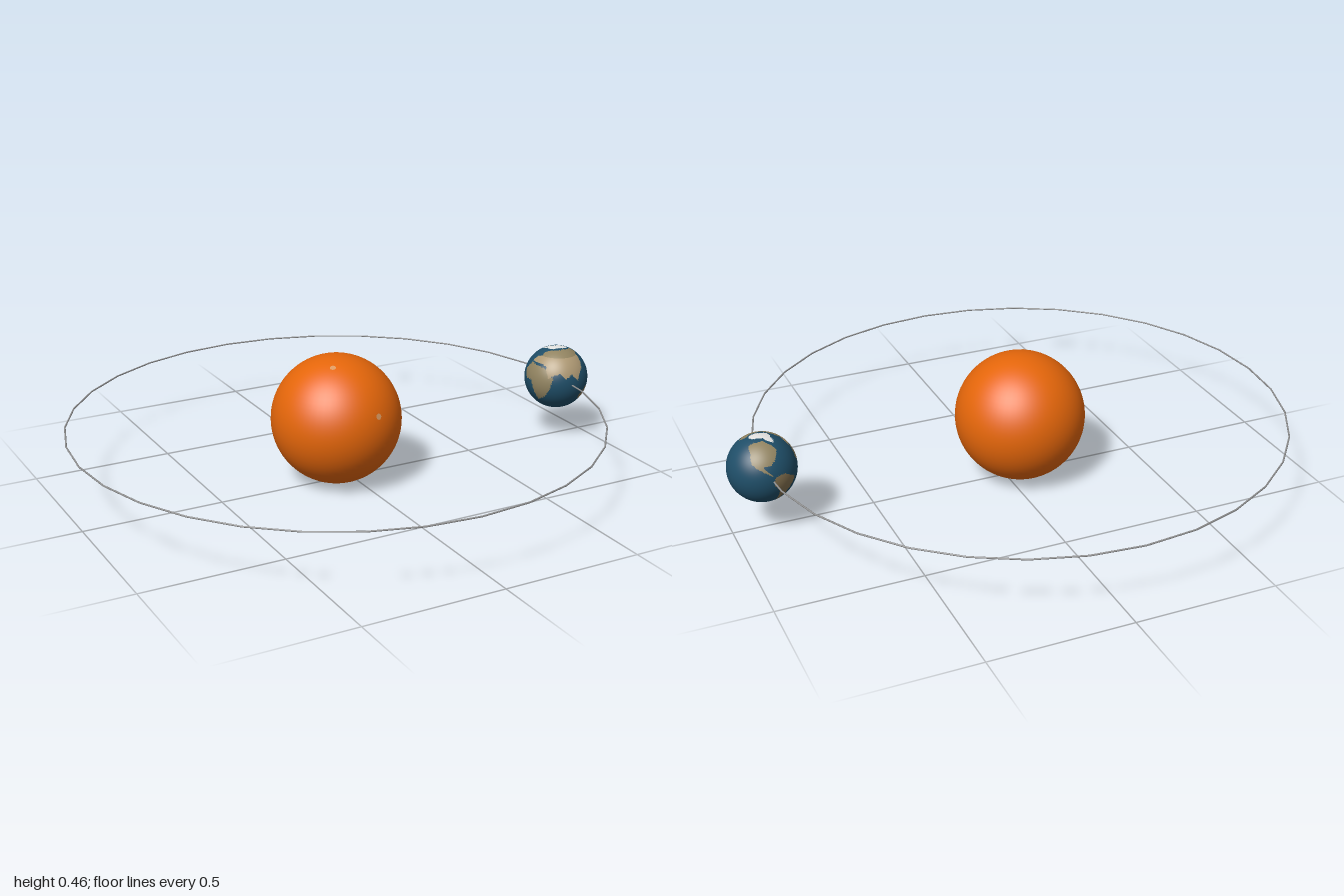
import * as THREE from 'three';

const DEG = Math.PI / 180;
const CENTER_Y = 0.232, SUN_X = -0.056, ORBIT = 0.941;

// Coarse land outlines as [longitude, latitude] corners
const EURASIA = [[-9, 37], [-4, 48], [10, 54], [6, 62], [28, 71], [104, 75], [165, 68], [160, 54], [140, 55], [130, 40],
  [121, 28], [108, 18], [103, 7], [91, 20], [78, 12], [68, 22], [57, 20], [45, 12], [36, 34], [24, 38]];
const AFRICA = [[-6, 35], [33, 31], [54, 13], [48, -8], [38, -25], [20, -35], [9, 4], [-8, 4], [-17, 18]];
const AUSTRALIA = [[114, -23], [131, -11], [142, -11], [153, -27], [148, -38], [116, -35]];
const NORTH_AMERICA = [[-140, 62], [-125, 70], [-82, 74], [-60, 60], [-56, 50], [-81, 27], [-97, 28],
  [-78, 8], [-117, 32], [-124, 49]];
const SOUTH_AMERICA = [[-78, 8], [-60, 9], [-35, -7], [-48, -27], [-69, -54], [-71, -20], [-81, -5]];
const GREENLAND = [[-72, 78], [-18, 80], [-24, 70], [-46, 62]];

function inside(poly, lon, lat) {
  let hit = false;
  for (let i = 0, j = poly.length - 1; i < poly.length; j = i++) {
    const [xi, yi] = poly[i], [xj, yj] = poly[j];
    if ((yi > lat) !== (yj > lat) && lon < (xj - xi) * (lat - yi) / (yj - yi) + xi) hit = !hit;
  }
  return hit;
}

// 0 = ocean, 1 = tan land, 2 = olive land, 3 = brown land, 4 = ice
function surfaceKind(lon, lat) {
  const iceEdge = 77 - 4 * Math.cos(2 * (lon - 170) * DEG);
  if (lat > iceEdge || lat < -71 || inside(GREENLAND, lon, lat)) return 4;
  if (inside(EURASIA, lon, lat)) return lat > 52 ? 2 : 1;
  if ([AFRICA, NORTH_AMERICA].some(p => inside(p, lon, lat))) return 2;
  return [AUSTRALIA, SOUTH_AMERICA].some(p => inside(p, lon, lat)) ? 3 : 0;
}

// Sphere whose triangles are sorted into one group per surface kind
function planetGeometry(radius) {
  const geo = new THREE.SphereGeometry(radius, 144, 72);
  const pos = geo.attributes.position, idx = geo.index.array;
  const sets = [[], [], [], [], []];
  const c = new THREE.Vector3(), v = new THREE.Vector3();
  for (let i = 0; i < idx.length; i += 3) {
    c.set(0, 0, 0);
    for (let k = 0; k < 3; k++) c.add(v.fromBufferAttribute(pos, idx[i + k]));
    c.normalize();
    let lon = Math.atan2(c.x, c.z) / DEG + 95; // the front faces 95 degrees east
    if (lon > 180) lon -= 360;
    sets[surfaceKind(lon, Math.asin(c.y) / DEG)].push(idx[i], idx[i + 1], idx[i + 2]);
  }
  geo.setIndex(sets.flat());
  let start = 0;
  sets.forEach((s, m) => { geo.addGroup(start, s.length, m); start += s.length; });
  return geo;
}

export function createModel() {
  const material = (name, color) => {
    const m = new THREE.MeshStandardMaterial({ color });
    m.name = name;
    return m;
  };
  const sunOrange = material('sunOrange', 0xe5660a);
  const spotTan = material('spotTan', 0xdb9a62);
  const oceanBlue = material('oceanBlue', 0x1f4e68);
  const landTan = material('landTan', 0xac9772);
  const landOlive = material('landOlive', 0x918360);
  const landBrown = material('landBrown', 0x857250);
  const iceWhite = material('iceWhite', 0xe4e4e2);
  const orbitGrey = material('orbitGrey', 0x909090);

  const model = new THREE.Group();
  model.name = 'sunAndPlanet';
  const add = (name, geo, mat, x, y = CENTER_Y, z = 0) => {
    const mesh = new THREE.Mesh(geo, mat);
    mesh.name = name;
    mesh.position.set(x, y, z);
    model.add(mesh);
    return mesh;
  };

  // Sun with two tiny pale spots, one on the front and one near the top
  const R = 0.23;
  add('sun', new THREE.SphereGeometry(R, 64, 40), sunOrange, SUN_X);
  for (const d of [[0.22, 0.29, 0.93], [-0.21, 0.93, 0.3]]) {
    const dir = new THREE.Vector3(...d).normalize();
    const at = dir.clone().multiplyScalar(R + 0.0005);
    const spot = add('sunSpot', new THREE.CircleGeometry(0.011, 10), spotTan, SUN_X + at.x, CENTER_Y + at.y, at.z);
    spot.quaternion.setFromUnitVectors(new THREE.Vector3(0, 0, 1), dir);
  }

  // Thin 32-sided orbit ring
  const ring = add('orbitRing', new THREE.TorusGeometry(ORBIT, 0.003, 8, 32), orbitGrey, SUN_X);
  ring.rotation.x = -Math.PI / 2;

  // Planet
  add('planet', planetGeometry(0.118), [oceanBlue, landTan, landOlive, landBrown, iceWhite], 0.882);
  return model;
}
